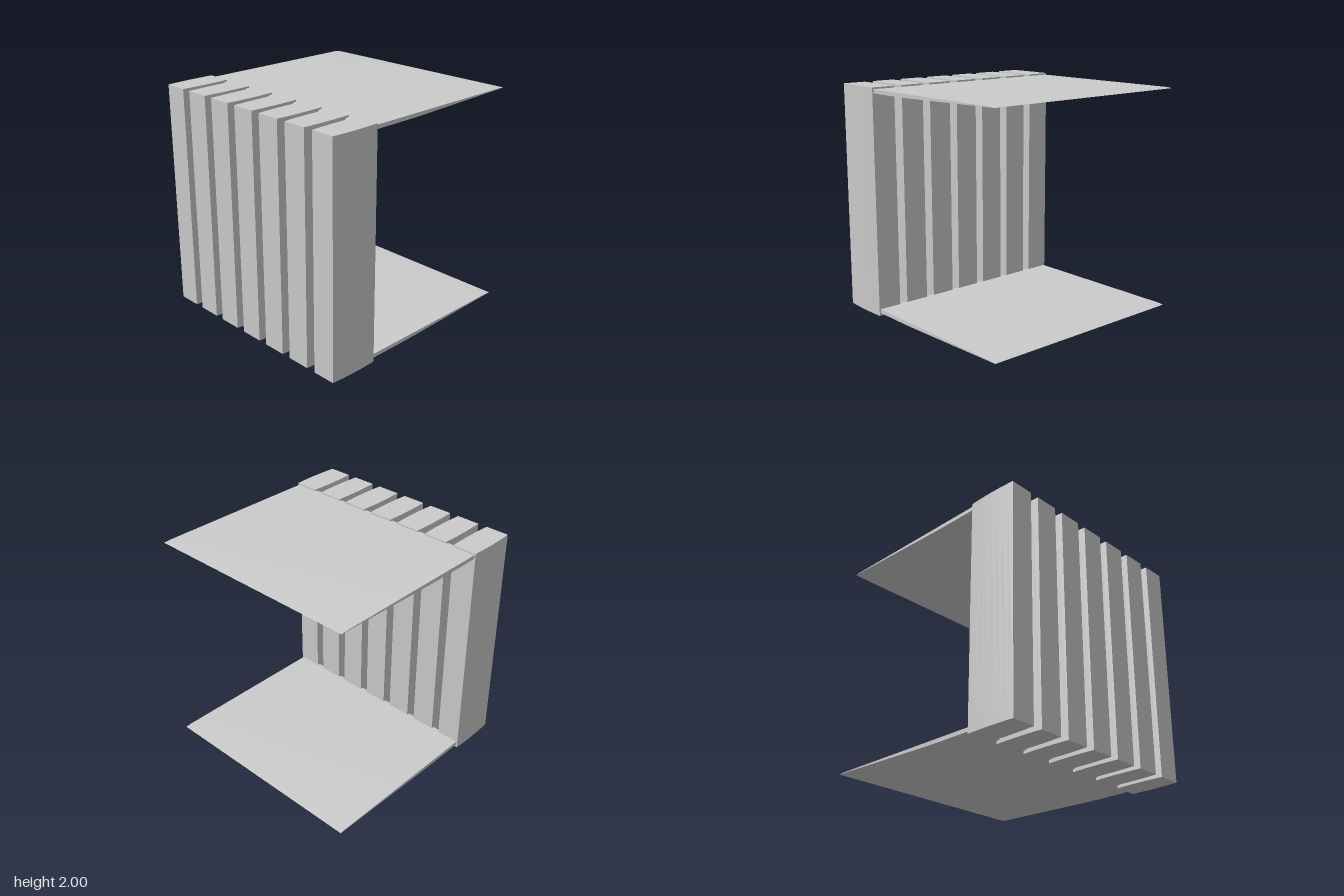
import * as THREE from 'three';
import { toCreasedNormals } from 'three/addons/utils/BufferGeometryUtils.js';

const material = new THREE.MeshStandardMaterial({ color: 0xcccccc });

// Vertical bar: slightly barrelled plan, extruded upwards
function barGeometry() {
  const s = new THREE.Shape();
  s.moveTo(-0.105, -1);
  s.lineTo(0.105, -1);
  s.bezierCurveTo(0.117, -0.86, 0.118, -0.68, 0.109, -0.55);
  s.lineTo(-0.109, -0.55);
  s.bezierCurveTo(-0.118, -0.68, -0.117, -0.86, -0.105, -1);
  const g = new THREE.ExtrudeGeometry(s, { depth: 2, bevelEnabled: false, curveSegments: 8 });
  g.rotateX(-Math.PI / 2);
  return toCreasedNormals(g, 0.5);
}

// Thin shelf: rounded front edge, underside tapering to a sharp back edge
function shelfGeometry() {
  const width = 1.966;
  const s = new THREE.Shape();
  s.moveTo(0.995, 0.029);
  s.lineTo(0.94, 0.034);
  s.lineTo(-0.55, 0.034);
  s.quadraticCurveTo(-0.59, 0.034, -0.59, 0.017);
  s.quadraticCurveTo(-0.59, 0, -0.55, 0);
  s.lineTo(-0.3, 0);
  s.quadraticCurveTo(-0.1, 0, 0.1, 0.006);
  s.lineTo(0.995, 0.029);
  const g = new THREE.ExtrudeGeometry(s, { depth: width, bevelEnabled: false, curveSegments: 6 });
  g.translate(0, 0, -width / 2);
  g.rotateY(Math.PI / 2);
  return toCreasedNormals(g, 0.6);
}

export function createModel() {
  const model = new THREE.Group();
  model.name = 'slattedPanelWithShelves';

  // Row of seven bars across the front
  const bar = barGeometry();
  for (let i = 0; i < 7; i++) {
    const mesh = new THREE.Mesh(bar, material);
    mesh.name = `bar${i + 1}`;
    mesh.position.x = (i - 3) * 0.295;
    model.add(mesh);
  }

  // Lower and upper shelves
  const shelf = shelfGeometry();
  for (const [name, y] of [['lowerShelf', 0.025], ['upperShelf', 1.951]]) {
    const mesh = new THREE.Mesh(shelf, material);
    mesh.name = name;
    mesh.position.y = y;
    model.add(mesh);
  }
  return model;
}
